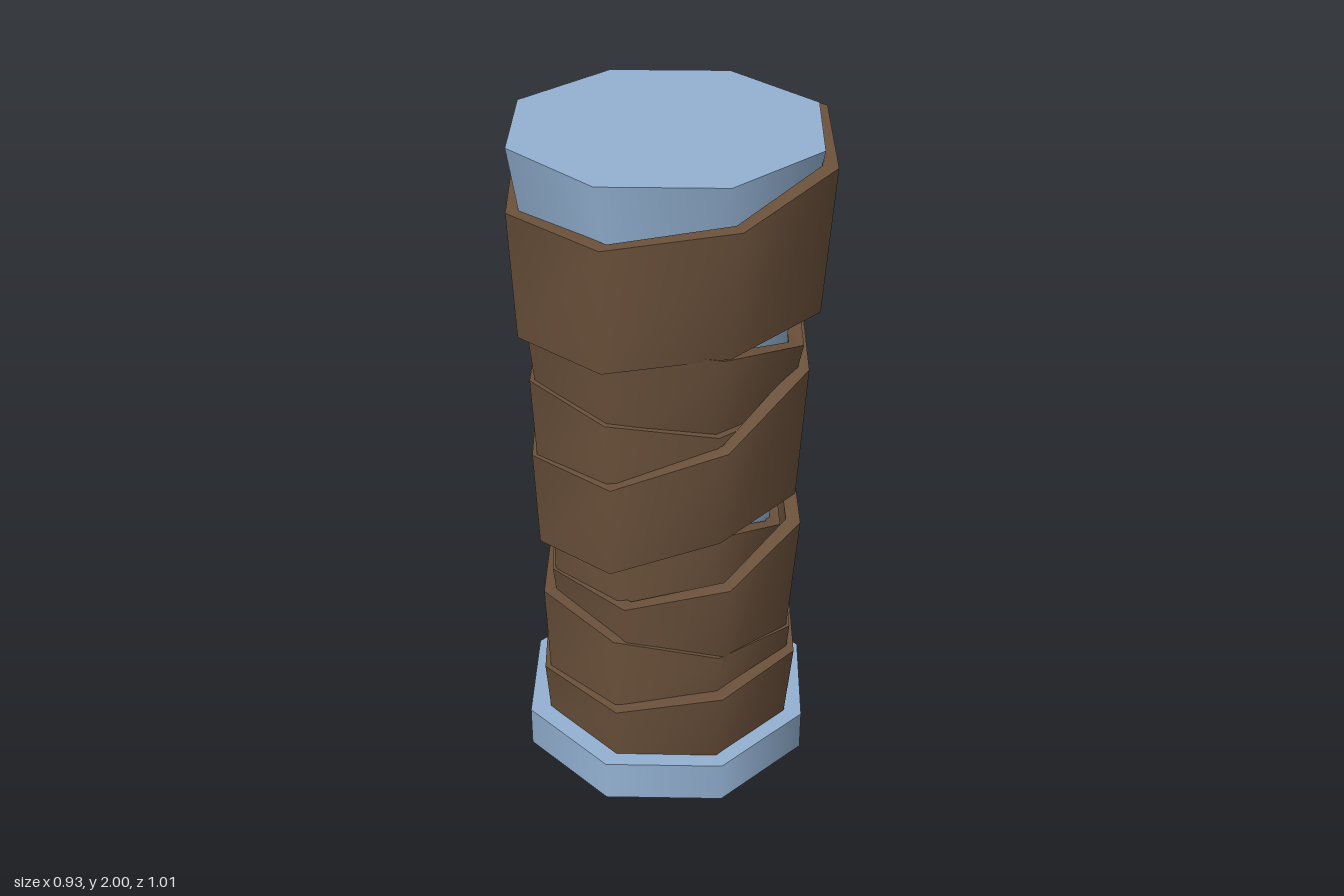
import * as THREE from 'three';

const SIDES = 8;
const blue = new THREE.MeshStandardMaterial({ name: 'paleBlueCore', color: 0x93b1d2 });
const brown = new THREE.MeshStandardMaterial({ name: 'brownLeather', color: 0x6b513b });

// One wrapped strap: an eight-sided flared ring whose edges follow heights
// given at five stations from the left (-x) side to the right (+x) side.
// Radii are [x, z] for the bottom and top edges.
function strapGeometry({ cx = 0, low, high, lowR, highR, thick = 0.045 }) {
  const ring = (heights, [rx, rz], inset) => Array.from({ length: SIDES }, (_, i) => {
    const a = (i / SIDES) * Math.PI * 2;
    const station = i <= 4 ? 4 - i : i - 4;
    return [cx + (rx - inset) * Math.cos(a), heights[station], (rz - inset) * Math.sin(a)];
  });
  const loops = [ring(low, lowR, 0), ring(high, highR, 0), ring(high, highR, thick), ring(low, lowR, thick)];
  const pos = [], index = [];
  // Outer wall, top rim, inner wall, bottom rim; each smooth around, sharp between
  loops.forEach((loop, k) => {
    const base = pos.length / 3;
    for (const p of [...loop, ...loops[(k + 1) % 4]]) pos.push(...p);
    for (let i = 0; i < SIDES; i++) {
      const j = (i + 1) % SIDES;
      const a = base + i, b = base + j, c = a + SIDES, d = b + SIDES;
      index.push(a, c, b, b, c, d);
    }
  });
  const g = new THREE.BufferGeometry();
  g.setAttribute('position', new THREE.Float32BufferAttribute(pos, 3));
  g.setIndex(index);
  g.computeVertexNormals();
  return g;
}

// Straps from the bottom up, alternately tilted
const STRAPS = [
  { cx: -0.007, low: [0.1, 0.1, 0.1, 0.1, 0.1], high: [0.29, 0.315, 0.38, 0.385, 0.425],
    lowR: [0.39, 0.395], highR: [0.405, 0.445] },
  { cx: -0.008, low: [0.26, 0.26, 0.26, 0.26, 0.26], high: [0.575, 0.56, 0.51, 0.465, 0.465],
    lowR: [0.385, 0.385], highR: [0.397, 0.412] },
  { cx: 0.01, low: [0.42, 0.42, 0.43, 0.43, 0.43], high: [0.65, 0.685, 0.77, 0.855, 0.883],
    lowR: [0.36, 0.395], highR: [0.385, 0.445] },
  { cx: -0.015, low: [0.6, 0.6, 0.62, 0.66, 0.68], high: [0.95, 0.95, 0.92, 0.835, 0.835],
    lowR: [0.35, 0.355], highR: [0.355, 0.39] },
  { cx: -0.008, low: [0.76, 0.8, 0.91, 0.938, 0.945], high: [1.06, 1.105, 1.235, 1.365, 1.41],
    lowR: [0.402, 0.402], highR: [0.414, 0.455] },
  { cx: -0.02, low: [1.0, 1.02, 1.05, 1.1, 1.12], high: [1.305, 1.295, 1.265, 1.24, 1.23],
    lowR: [0.385, 0.385], highR: [0.4, 0.415] },
  { cx: -0.02, low: [1.2, 1.2, 1.2, 1.22, 1.22], high: [1.55, 1.55, 1.515, 1.44, 1.453],
    lowR: [0.375, 0.38], highR: [0.41, 0.442] },
  { cx: -0.002, low: [1.447, 1.47, 1.52, 1.535, 1.54], high: [1.82, 1.845, 1.905, 1.967, 1.99],
    lowR: [0.446, 0.446], highR: [0.463, 0.505] },
];

export function createModel() {
  const model = new THREE.Group();
  model.name = 'wrappedGrip';

  // Core sections: name, bottom radius, top radius, bottom y, top y
  const sections = [
    ['basePlate', 0.455, 0.455, 0, 0.13],
    ['coreShaft', 0.32, 0.33, 0.13, 0.95],
    ['coreNeck', 0.33, 0.365, 0.95, 1.48],
    ['coreFlare', 0.365, 0.447, 1.48, 2],
  ];
  for (const [name, r0, r1, y0, y1] of sections) {
    const mesh = new THREE.Mesh(new THREE.CylinderGeometry(r1, r0, y1 - y0, SIDES), blue);
    mesh.name = name;
    mesh.position.set(-0.009, (y0 + y1) / 2, -0.003);
    model.add(mesh);
  }

  STRAPS.forEach((spec, i) => {
    const mesh = new THREE.Mesh(strapGeometry(spec), brown);
    mesh.name = `leatherStrap${i + 1}`;
    model.add(mesh);
  });
  return model;
}
